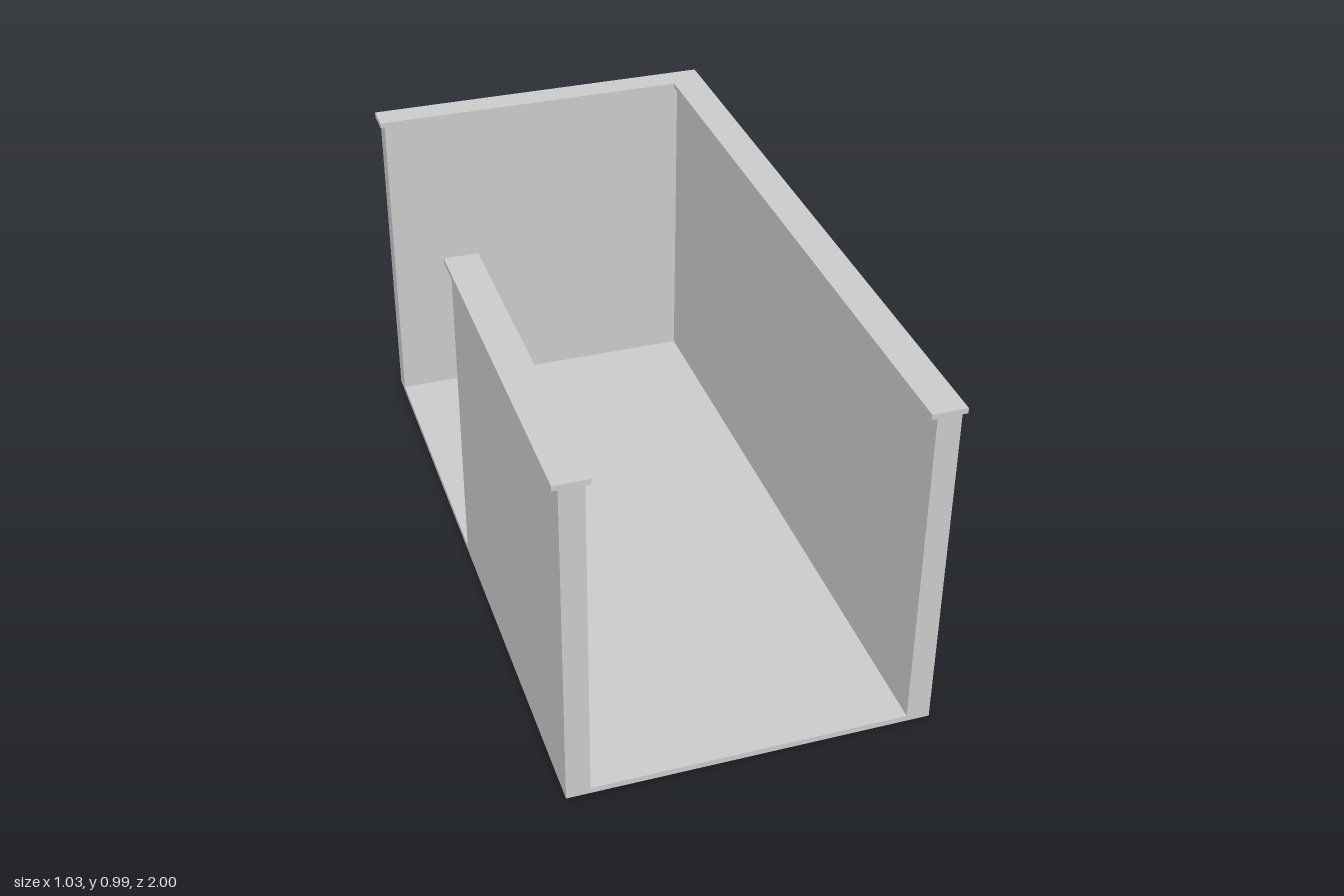
import * as THREE from 'three';

const material = new THREE.MeshStandardMaterial({ color: 0xcccccc, flatShading: true });

// Extrudes a plan outline of [x, z] corners from height y0 up to y1
function slab(name, outline, y0, y1) {
  const shape = new THREE.Shape(outline.map(([x, z]) => new THREE.Vector2(x, -z)));
  const geometry = new THREE.ExtrudeGeometry(shape, { depth: y1 - y0, bevelEnabled: false });
  geometry.rotateX(-Math.PI / 2).translate(0, y0, 0);
  const mesh = new THREE.Mesh(geometry, material);
  mesh.name = name;
  return mesh;
}

const rect = (x0, x1, z0, z1) => [[x0, z0], [x1, z0], [x1, z1], [x0, z1]];

export function createModel() {
  const group = new THREE.Group();
  group.name = 'openRoom';

  const outer = 0.5, inner = 0.435;   // side wall faces
  const lip = 0.015;                  // coping overhang, also the back recess
  const floorTop = 0.017, wallTop = 0.97, top = 0.985;
  const backInner = -0.935;           // inner face of the back wall
  const sideStart = -0.055;           // where the short side wall begins
  const recess = outer - lip;

  // Floor, set in at the back like the back panel
  group.add(slab('floor', rect(-inner, inner, -1 + lip, 1), 0, floorTop));
  group.add(slab('doorwayFloor', rect(-outer, -inner, backInner, sideStart), 0, floorTop));

  // Long side wall and back wall in one L, with narrow edge strips at the back
  group.add(slab('cornerWall', [
    [-outer, -1], [-recess, -1], [-recess, -1 + lip],
    [recess, -1 + lip], [recess, -1], [outer, -1],
    [outer, 1], [inner, 1], [inner, backInner], [-outer, backInner],
  ], 0, wallTop));

  // Short side wall beside the doorway
  group.add(slab('shortWall', rect(-outer, -inner, sideStart, 1), 0, wallTop));

  // Overhanging copings
  group.add(slab('cornerCoping', [
    [-outer - lip, -1], [outer + lip, -1], [outer + lip, 1],
    [inner - lip, 1], [inner - lip, backInner + lip], [-outer - lip, backInner + lip],
  ], wallTop, top));
  group.add(slab('shortCoping', rect(-outer - lip, -inner + lip, sideStart - lip, 1), wallTop, top));

  return group;
}
